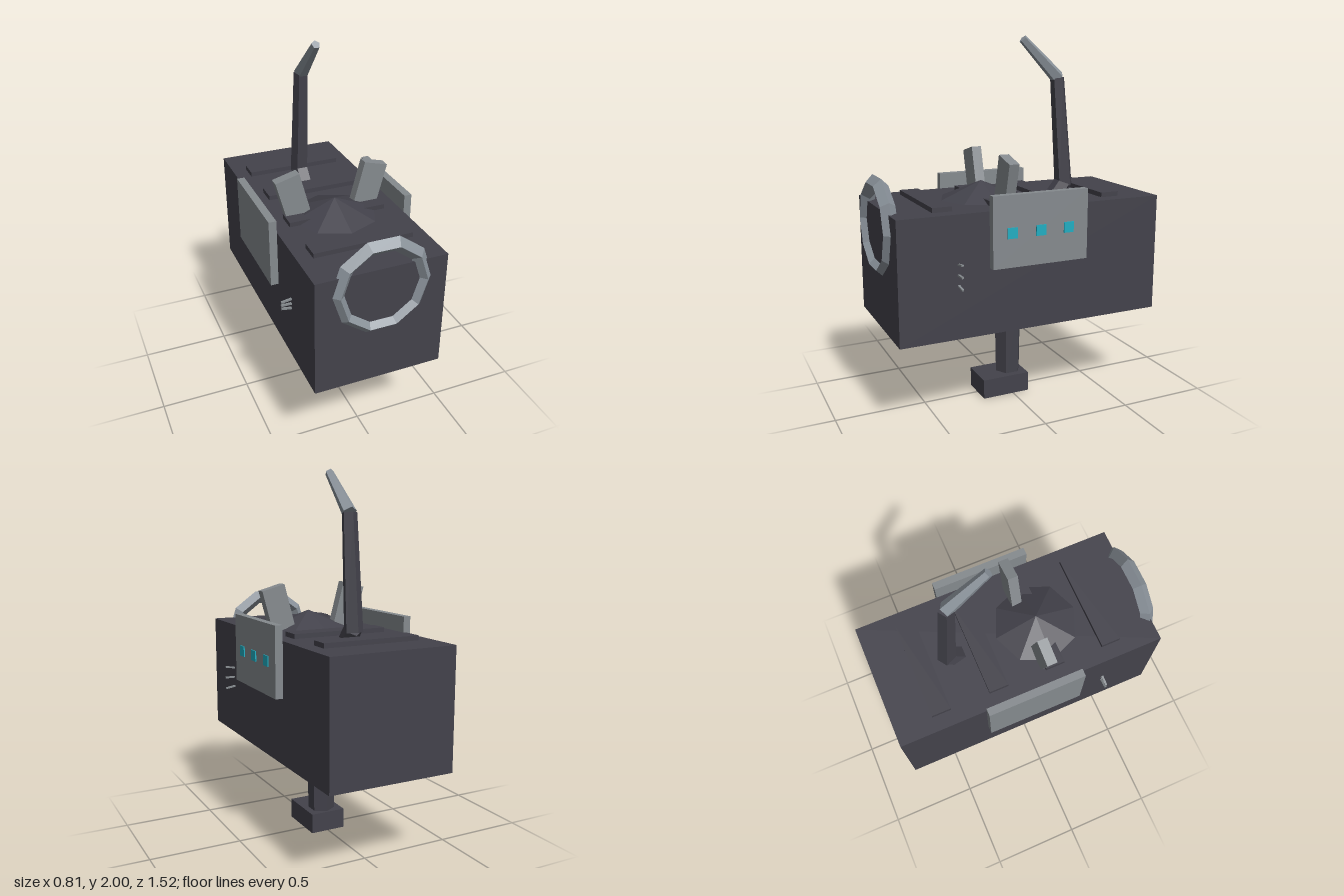
import * as THREE from 'three';

export function createModel() {
  const model = new THREE.Group();
  model.name = 'boxCreature';

  const paint = (name, color) => {
    const m = new THREE.MeshStandardMaterial({ color });
    m.name = name;
    m.flatShading = true;
    return m;
  };
  const dark = paint('darkCasing', 0x43424b);
  const grey = paint('greyPanel', 0x858a8e);
  const steel = paint('steelTrim', 0x8a929a);
  const cyan = paint('cyanLight', 0x20adc2);

  const add = (name, geometry, material, x, y, z) => {
    const mesh = new THREE.Mesh(geometry, material);
    mesh.name = name;
    mesh.position.set(x, y, z);
    model.add(mesh);
    return mesh;
  };
  const box = (name, material, w, h, d, x, y, z) =>
    add(name, new THREE.BoxGeometry(w, h, d), material, x, y, z);

  // Five-sided tail piece between two [y, z] points, ridge towards the back
  const tailPiece = (name, material, [y0, z0], [y1, z1], r0, r1) => {
    const length = Math.hypot(y1 - y0, z1 - z0);
    const geometry = new THREE.CylinderGeometry(r1, r0, length, 5, 1, false, Math.PI);
    const mesh = add(name, geometry, material, 0, (y0 + y1) / 2, (z0 + z1) / 2);
    mesh.rotation.x = Math.atan2(z1 - z0, y1 - y0);
  };

  // Main body
  box('body', dark, 0.7, 0.65, 1.495, 0, 0.815, -0.0125);

  // Leg and foot
  add('leg', new THREE.CylinderGeometry(0.081, 0.073, 0.44, 6), dark, 0, 0.32, -0.01);
  box('foot', dark, 0.2, 0.11, 0.275, 0, 0.055, 0.043);

  // Front ring
  add('frontRing', new THREE.TorusGeometry(0.23, 0.04, 4, 10), steel, 0, 1.04, 0.725);

  // Slats across the top
  for (const z of [-0.502, -0.178, 0.146, 0.472]) {
    box('topSlat', dark, 0.54, 0.035, 0.106, 0, 1.148, z);
  }

  // Low eight-sided dome
  add('topDome', new THREE.ConeGeometry(0.23, 0.095, 8), dark, 0, 1.189, 0.15);

  for (const side of [-1, 1]) {
    // Ears leaning outwards
    const ear = box('ear', grey, 0.135, 0.24, 0.056, side * 0.219, 1.262, 0.097);
    ear.rotation.z = -side * 0.262;

    // Side panels
    box('sidePanel', grey, 0.042, 0.375, 0.54, side * 0.381, 1.037, -0.015);

    // Three thin gills, tilted the same way on both sides
    for (const i of [-1, 0, 1]) {
      const spread = side > 0 ? 0.056 : 0.027;
      const gill = box('gill', grey, 0.1, 0.009, 0.012, side * 0.356, 0.83 + i * spread, 0.42);
      gill.rotation.z = i * 0.16;
    }
  }

  // Lights on the left panel
  for (const z of [0.15, -0.012, -0.172]) {
    box('panelLight', cyan, 0.008, 0.056, 0.056, 0.404, 1.03, z);
  }

  // Tail: root, upright and forward-bent tip
  tailPiece('tailRoot', dark, [1.06, -0.26], [1.19, -0.36], 0.055, 0.05);
  tailPiece('tailUpright', dark, [1.173, -0.364], [1.775, -0.314], 0.052, 0.041);
  tailPiece('tailTip', steel, [1.775, -0.315], [1.983, -0.1], 0.04, 0.024);

  return model;
}
